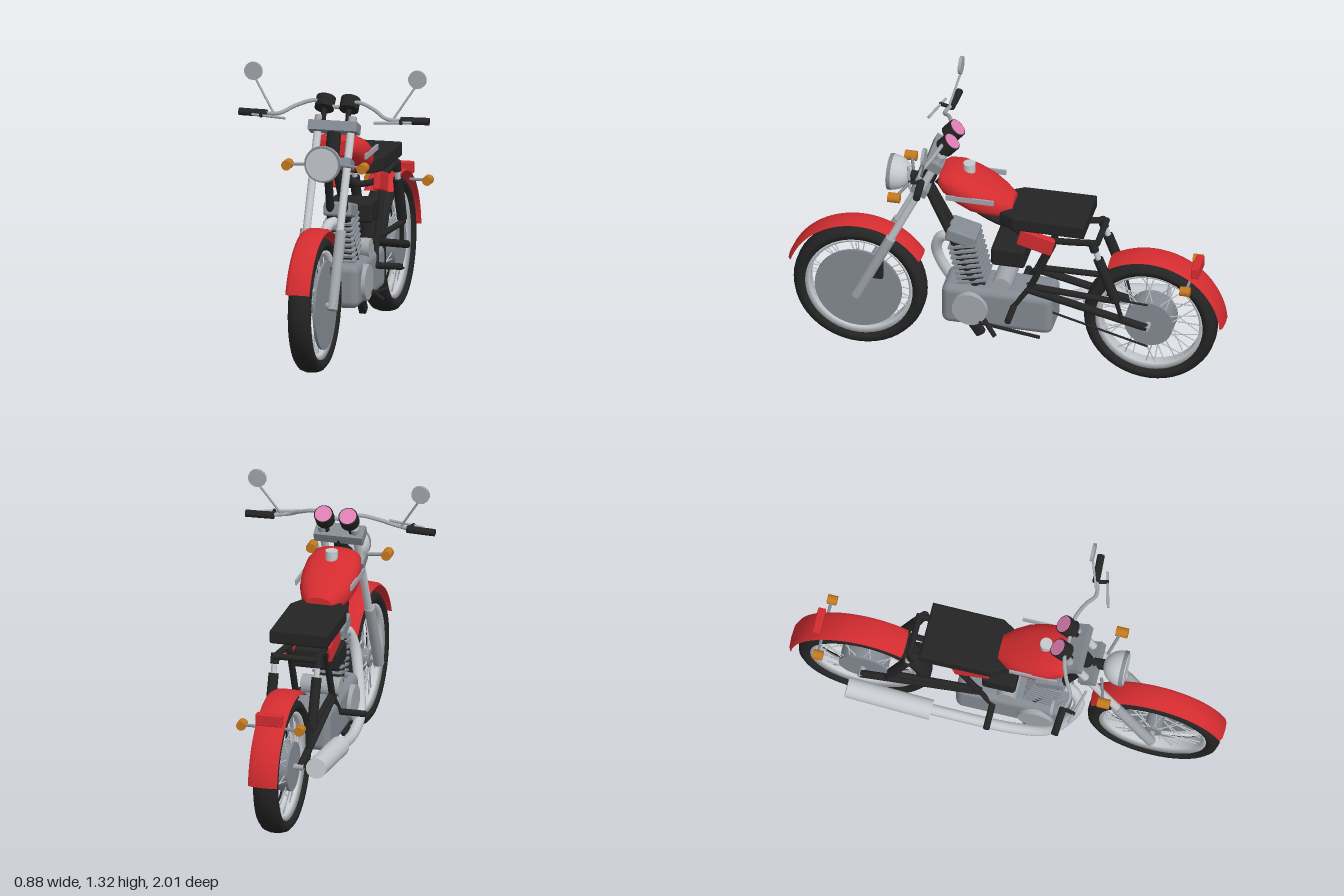
import * as THREE from 'three';
import { RoundedBoxGeometry } from 'three/addons/geometries/RoundedBoxGeometry.js';
import { mergeGeometries } from 'three/addons/utils/BufferGeometryUtils.js';

const mat = (name, color, side = THREE.FrontSide) => {
  const m = new THREE.MeshStandardMaterial({ color, side });
  m.name = name;
  return m;
};
const V = (p) => new THREE.Vector3(...p);

export function createModel() {
  const red = mat('red paint', 0xd42c30, THREE.DoubleSide);
  const black = mat('black', 0x242424);
  const chrome = mat('chrome', 0xc6cacf);
  const silver = mat('silver', 0xa2a7ad);
  const grey = mat('engine grey', 0x858b93);
  const amber = mat('amber', 0xc47a1e);
  const pink = mat('pink dial', 0xe080b4);

  const root = new THREE.Group();
  root.name = 'motorcycle';
  const add = (name, geo, material, pos = [0, 0, 0], rot = [0, 0, 0]) => {
    const m = new THREE.Mesh(geo, material);
    m.name = name;
    m.position.set(...pos);
    m.rotation.set(...rot);
    root.add(m);
    return m;
  };
  const rodGeo = (a, b, r, r2 = r, n = 12) => {
    const d = V(b).sub(V(a));
    const g = new THREE.CylinderGeometry(r2, r, d.length(), n);
    g.applyQuaternion(new THREE.Quaternion().setFromUnitVectors(new THREE.Vector3(0, 1, 0), d.normalize()));
    const c = V(a).add(V(b)).multiplyScalar(0.5);
    return g.translate(c.x, c.y, c.z);
  };
  const rod = (name, a, b, r, m, r2 = r, n = 14) => add(name, rodGeo(a, b, r, r2, n), m);
  const tube = (name, pts, r, m, n = 40) =>
    add(name, new THREE.TubeGeometry(new THREE.CatmullRomCurve3(pts.map(V)), n, r, 10), m);
  const box = (name, w, h, d, m, pos, rx = 0, round = 0) =>
    add(name, round ? new RoundedBoxGeometry(w, h, d, 3, round) : new THREE.BoxGeometry(w, h, d), m, pos, [rx, 0, 0]);
  const both = (f) => [1, -1].forEach(f);
  const lathe = (pts, n, start = 0, len = Math.PI * 2) =>
    new THREE.LatheGeometry(pts.map((p) => new THREE.Vector2(...p)), n, start, len).rotateZ(Math.PI / 2);

  // Wheels
  const wheel = (name, z, w, hubR, hubW) => {
    const c = [0, 0.31, z];
    add(name + 'Tire', lathe([[0.24, -w * 0.6], [0.262, -w * 0.95], [0.28, -w], [0.297, -w * 0.75], [0.305, -w * 0.3],
      [0.305, w * 0.3], [0.297, w * 0.75], [0.28, w], [0.262, w * 0.95], [0.24, w * 0.6], [0.24, -w * 0.6]], 48), black, c);
    add(name + 'Rim', lathe([[0.228, -0.025], [0.247, -0.042], [0.249, 0], [0.247, 0.042], [0.228, 0.025], [0.228, -0.025]], 48), chrome, c);
    const spokes = [];
    for (let i = 0; i < 40; i++) {
      const a = (i / 40) * Math.PI * 2, s = i % 2 ? 1 : -1, b = a + (i % 4 < 2 ? 0.25 : -0.25);
      spokes.push(rodGeo([s * hubW * 0.8, Math.sin(a) * hubR * 0.95, Math.cos(a) * hubR * 0.95],
        [s * 0.01, Math.sin(b) * 0.232, Math.cos(b) * 0.232], 0.0028, 0.0028, 5));
    }
    add(name + 'Spokes', mergeGeometries(spokes), chrome, c);
    rod(name + 'Hub', [-hubW, 0.31, z], [hubW, 0.31, z], hubR, grey, hubR, 32);
    rod(name + 'Axle', [-0.1, 0.31, z], [0.1, 0.31, z], 0.014, silver);
  };
  wheel('front', 0.68, 0.053, 0.04, 0.045);
  wheel('rear', -0.655, 0.058, 0.112, 0.055);
  rod('brakeDisc', [0.042, 0.31, 0.68], [0.054, 0.31, 0.68], 0.2, grey, 0.2, 40);
  box('brakeCaliper', 0.035, 0.075, 0.045, black, [0.066, 0.43, 0.585]);

  // Fenders
  const fender = (name, z, w, from, to) => {
    const d = Math.PI / 180;
    add(name, lathe([[0.331, -w], [0.342, -w * 0.7], [0.345, 0], [0.342, w * 0.7], [0.331, w], [0.329, w * 0.9], [0.335, 0],
      [0.329, -w * 0.9], [0.331, -w]], 36, from * d, (to - from) * d), red, [0, 0.31, z]);
  };
  fender('frontFender', 0.68, 0.056, 19, 147);
  fender('rearFender', -0.655, 0.068, 57, 176);

  // Fork and steering head
  const tilt = -0.45;
  both((s) => {
    rod('forkTube', [s * 0.077, 1.08, 0.3], [s * 0.077, 0.58, 0.542], 0.018, chrome);
    rod('forkSlider', [s * 0.082, 0.29, 0.683], [s * 0.082, 0.62, 0.523], 0.024, silver);
    rod('forkCap', [s * 0.077, 1.07, 0.305], [s * 0.077, 1.095, 0.293], 0.02, silver);
  });
  box('upperClamp', 0.226, 0.045, 0.08, grey, [0, 1.05, 0.325], tilt);
  box('lowerClamp', 0.2, 0.04, 0.075, grey, [0, 0.9, 0.39], tilt);
  rod('steeringHead', [0, 1.04, 0.32], [0, 0.85, 0.395], 0.032, black);

  // Headlight
  const shell = new THREE.SphereGeometry(0.082, 28, 12, 0, Math.PI * 2, 0, Math.PI / 2).rotateX(-Math.PI / 2).scale(1, 1, 1.1);
  add('headlightShell', shell, chrome, [0, 0.925, 0.535]);
  rod('headlightRim', [0, 0.925, 0.53], [0, 0.925, 0.547], 0.083, grey, 0.083, 32);
  rod('headlightLens', [0, 0.925, 0.54], [0, 0.925, 0.551], 0.074, chrome, 0.074, 32);
  rod('headlightMount', [0, 0.915, 0.4], [0, 0.92, 0.47], 0.025, black);

  // Handlebar, grips, levers and mirrors
  const half = [[0.34, 1.1, 0.33], [0.25, 1.107, 0.35], [0.18, 1.14, 0.315], [0.1, 1.162, 0.288], [0.04, 1.145, 0.285]];
  const flip = half.map(([x, y, z]) => [-x, y, z]).reverse();
  tube('handlebar', [...half, [0, 1.135, 0.285], ...flip], 0.009, silver, 70);
  both((s) => {
    rod('grip', [s * 0.31, 1.1, 0.333], [s * 0.44, 1.1, 0.325], 0.017, black);
    rod('lever', [s * 0.37, 1.1, 0.372], [s * 0.205, 1.1, 0.415], 0.006, silver);
    rod('leverClamp', [s * 0.31, 1.1, 0.335], [s * 0.325, 1.1, 0.39], 0.009, black);
    rod('mirrorStem', [s * 0.28, 1.11, 0.34], [s * 0.37, 1.25, 0.303], 0.005, silver);
    rod('mirror', [s * 0.38, 1.285, 0.297], [s * 0.38, 1.285, 0.311], 0.042, silver, 0.042, 14);
    // Gauges
    const x = s * 0.057;
    rod('gauge', [x, 1.125, 0.285], [x, 1.168, 0.247], 0.044, black, 0.044, 20);
    rod('gaugeFace', [x, 1.167, 0.248], [x, 1.17, 0.2453], 0.039, pink, 0.039, 20);
    rod('gaugeStem', [x, 1.06, 0.31], [x, 1.13, 0.28], 0.012, black);
    // Turn signals
    rod('frontSignal', [s * 0.175, 0.905, 0.46], [s * 0.175, 0.905, 0.515], 0.023, amber);
    rod('frontSignalStem', [s * 0.16, 0.905, 0.48], [s * 0.06, 0.905, 0.45], 0.007, grey);
    rod('rearSignal', [s * 0.135, 0.567, -0.865], [s * 0.135, 0.567, -0.82], 0.022, amber);
    rod('rearSignalStem', [s * 0.12, 0.567, -0.845], [s * 0.05, 0.567, -0.845], 0.007, grey);
  });
  box('tailLight', 0.122, 0.055, 0.036, red, [0, 0.615, -0.87], 0, 0.005);

  // Fuel tank: rounded sections [z, middle y, half width, half height]
  const secs = [[-0.03, 0.83, 0.06, 0.045], [0.02, 0.85, 0.095, 0.06], [0.08, 0.872, 0.12, 0.075], [0.15, 0.895, 0.13, 0.085],
    [0.22, 0.925, 0.127, 0.078], [0.28, 0.947, 0.11, 0.056], [0.305, 0.953, 0.085, 0.036]];
  const tank = new THREE.CylinderGeometry(1, 1, secs.length - 1, 28, secs.length - 1).rotateX(Math.PI / 2);
  const p = tank.attributes.position;
  for (let i = 0; i < p.count; i++) {
    const [z, yc, hw, hh] = secs[Math.round(p.getZ(i) + (secs.length - 1) / 2)];
    const sq = (v) => Math.sign(v) * Math.abs(v) ** 0.8;
    p.setXYZ(i, sq(p.getX(i)) * hw, yc + sq(p.getY(i)) * hh, z);
  }
  tank.computeVertexNormals();
  add('fuelTank', tank, red);
  rod('fillerCap', [0, 0.97, 0.18], [0, 1.024, 0.18], 0.028, chrome, 0.028, 18);
  both((s) => box('tankStripe', 0.009, 0.024, 0.22, silver, [s * 0.128, 0.908, 0.15]));

  // Seat
  const seat = new THREE.Shape([[-0.085, 0.01], [0.085, 0.01], [0.12, -0.05], [0.123, -0.365], [-0.123, -0.365], [-0.12, -0.05]]
    .map(([x, z]) => new THREE.Vector2(x, -z)));
  add('seat', new THREE.ExtrudeGeometry(seat, { depth: 0.046, bevelSize: 0.012, bevelThickness: 0.012, bevelSegments: 3 })
    .rotateX(-Math.PI / 2), black, [0, 0.787, 0]);

  // Frame, side panels, swingarm and rear shocks
  tube('backbone', [[0, 0.92, 0.33], [0, 0.8, 0.17], [0, 0.735, 0.05], [0, 0.71, -0.08]], 0.02, black);
  both((s) => {
    rod('downTube', [s * 0.02, 0.88, 0.37], [s * 0.05, 0.38, 0.13], 0.019, black);
    tube('seatRail', [[0, 0.72, 0], [s * 0.06, 0.71, -0.1], [s * 0.085, 0.72, -0.25], [s * 0.095, 0.74, -0.43]], 0.015, black);
    rod('seatStrut', [s * 0.085, 0.7, -0.225], [s * 0.085, 0.43, -0.11], 0.015, black);
    box('sidePanel', 0.03, 0.085, 0.165, red, [s * 0.095, 0.708, -0.148], -0.26, 0.008);
    rod('swingarm', [s * 0.085, 0.44, -0.1], [s * 0.085, 0.31, -0.655], 0.018, black);
    rod('lowerRail', [s * 0.08, 0.45, -0.11], [s * 0.1, 0.442, -0.53], 0.014, black);
    rod('shockRod', [s * 0.1, 0.74, -0.41], [s * 0.1, 0.64, -0.443], 0.013, chrome);
    rod('shockTop', [s * 0.1, 0.745, -0.405], [s * 0.1, 0.7, -0.42], 0.02, black);
    rod('shockBody', [s * 0.1, 0.66, -0.435], [s * 0.1, 0.46, -0.51], 0.023, black);
    rod('shockLink', [s * 0.1, 0.47, -0.51], [s * 0.09, 0.345, -0.54], 0.01, black);
    rod('footPeg', [s * 0.09, 0.343, -0.045], [s * 0.22, 0.343, -0.045], 0.015, black);
    rod('pegBracket', [s * 0.1, 0.345, -0.045], [s * 0.085, 0.44, -0.11], 0.012, black);
    box('lowerMount', 0.035, 0.085, 0.045, black, [s * 0.08, 0.2, 0.13], 0.6, 0.008);
  });
  rod('seatCrossTube', [-0.1, 0.74, -0.43], [0.1, 0.74, -0.43], 0.014, black);
  box('airBox', 0.21, 0.095, 0.155, black, [0, 0.603, -0.018], 0, 0.015);

  // Drive chain
  rod('chainTop', [0.07, 0.46, -0.1], [0.07, 0.422, -0.655], 0.005, black);
  rod('chainBottom', [0.07, 0.365, -0.05], [0.07, 0.2, -0.655], 0.005, black);

  // Engine
  box('crankcase', 0.2, 0.2, 0.51, grey, [0, 0.308, 0.035], 0, 0.035);
  both((s) => rod('engineCover', [s * 0.09, 0.308, 0.155], [s * 0.118, 0.308, 0.155], 0.085, silver, 0.08, 28));
  rod('gearCover', [-0.09, 0.435, 0.015], [0.09, 0.435, 0.015], 0.045, silver, 0.045, 20);
  const lean = 0.24;
  box('cylinderCore', 0.1, 0.27, 0.1, black, [0, 0.52, 0.177], lean);
  for (let i = 0; i < 8; i++) {
    const t = i * 0.026;
    box('coolingFin', 0.135, 0.01, 0.135, grey, [0, 0.425 + t, 0.155 + t * 0.245], lean);
  }
  box('cylinderHead', 0.13, 0.065, 0.14, grey, [0, 0.647, 0.208], lean - 0.5, 0.012);

  // Exhaust
  tube('exhaustPipe', [[-0.02, 0.6, 0.25], [-0.035, 0.59, 0.31], [-0.06, 0.51, 0.345], [-0.09, 0.38, 0.31], [-0.125, 0.24, 0.21],
    [-0.14, 0.21, 0.06], [-0.152, 0.235, -0.15], [-0.168, 0.29, -0.34]], 0.025, chrome, 60);
  rod('muffler', [-0.17, 0.285, -0.31], [-0.17, 0.33, -0.7], 0.047, chrome, 0.047, 24);

  // Shift lever and side stand
  rod('shiftLever', [0.12, 0.25, 0.11], [0.12, 0.21, -0.17], 0.008, black);
  rod('sideStand', [0.1, 0.27, 0.1], [0.148, 0.205, 0.03], 0.011, black);

  return root;
}
